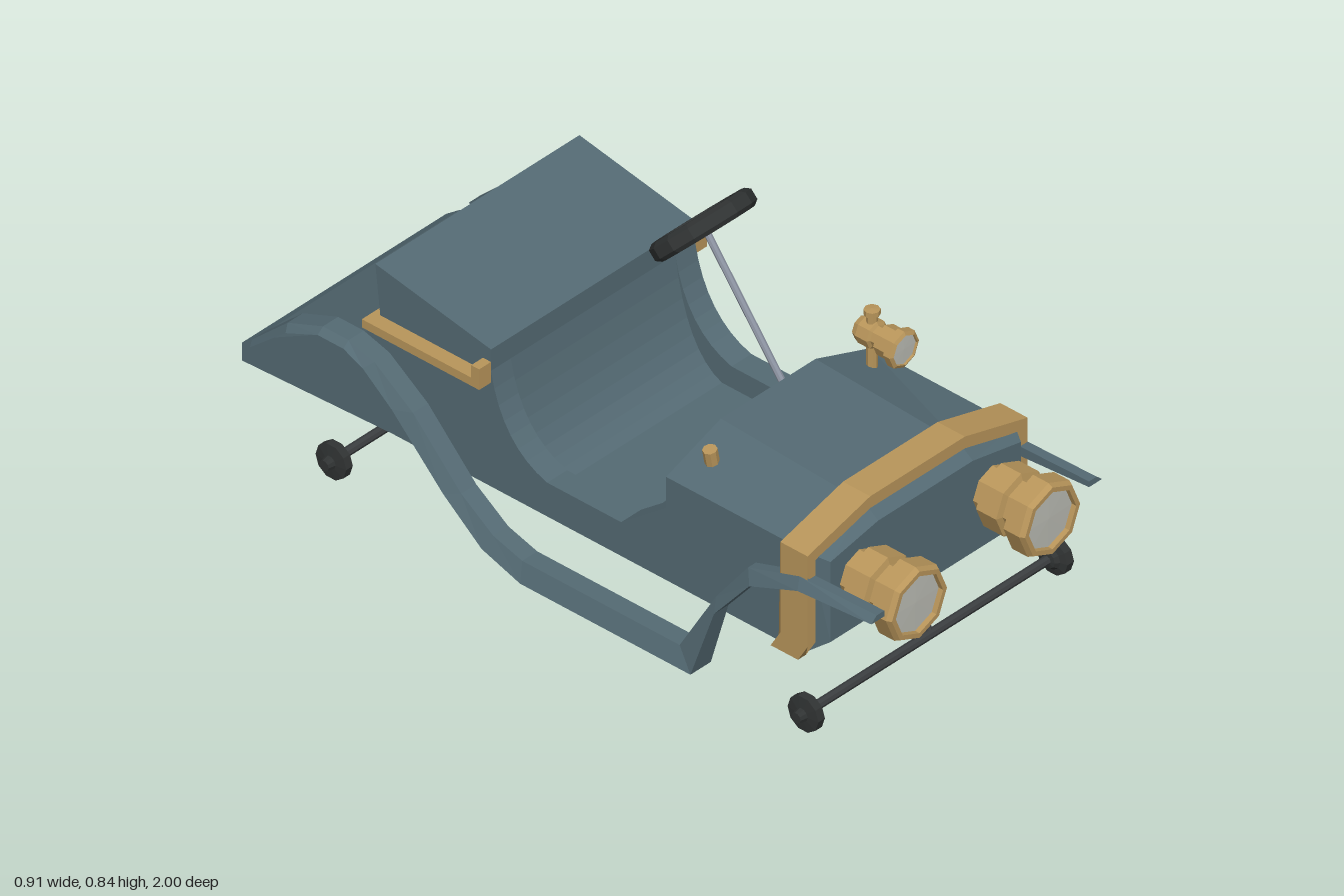
import * as THREE from 'three';

const mat = (name, color) => Object.assign(new THREE.MeshStandardMaterial({ color }), { name });

export function createModel() {
  const car = new THREE.Group();
  car.name = 'car';
  const paint = mat('blue grey paint', 0x546a73);
  const brass = mat('brass', 0xb8955a);
  const black = mat('black rubber', 0x303333);
  const iron = mat('dark iron', 0x3b3e40);
  const silver = mat('silver', 0x8b92a0);
  const glass = mat('lamp glass', 0xbabbb3);

  // Every part has faceted normals
  function add(name, geo, material, parent = car) {
    const g = geo.index ? geo.toNonIndexed() : geo;
    g.computeVertexNormals();
    const mesh = new THREE.Mesh(g, material);
    mesh.name = name;
    parent.add(mesh);
    return mesh;
  }
  const box = (x0, x1, y0, y1, z0, z1) =>
    new THREE.BoxGeometry(x1 - x0, y1 - y0, z1 - z0).translate((x0 + x1) / 2, (y0 + y1) / 2, (z0 + z1) / 2);
  const lathe = (pts, sides) => new THREE.LatheGeometry(pts.map(p => new THREE.Vector2(...p)), sides);
  const shapeOf = pts => new THREE.Shape(pts.map(p => new THREE.Vector2(...p)));

  // Side profile of (z, y) points, extruded across x
  const slab = (pts, x0, x1) =>
    new THREE.ExtrudeGeometry(shapeOf(pts), { depth: x1 - x0, bevelEnabled: false })
      .rotateY(-Math.PI / 2).translate(x1, 0, 0);

  // Round bar between two points
  function rod(name, a, b, r, material, sides = 8) {
    const from = new THREE.Vector3(...a), to = new THREE.Vector3(...b);
    const dir = to.clone().sub(from);
    const mesh = add(name, new THREE.CylinderGeometry(r, r, dir.length(), sides), material);
    mesh.position.copy(from).addScaledVector(dir, 0.5);
    mesh.quaternion.setFromUnitVectors(new THREE.Vector3(0, 1, 0), dir.normalize());
    return mesh;
  }

  // Skin over convex rings, counter-clockwise seen from the front, ordered front to back
  function loft(rings) {
    const n = rings[0].length, last = (rings.length - 1) * n, idx = [];
    for (let r = 0; r < rings.length - 1; r++) {
      for (let i = 0; i < n; i++) {
        const a = r * n + i, b = r * n + (i + 1) % n;
        idx.push(a, a + n, b, b, a + n, b + n);
      }
    }
    for (let i = 1; i < n - 1; i++) idx.push(0, i, i + 1, last, last + i + 1, last + i);
    const g = new THREE.BufferGeometry();
    g.setAttribute('position', new THREE.Float32BufferAttribute(rings.flat(2), 3));
    g.setIndex(idx);
    return g;
  }

  // Body tub: outer side walls and a deeper centre with a footwell
  const seatCurve = (z0, y0) => new THREE.QuadraticBezierCurve(
    new THREE.Vector2(z0, y0), new THREE.Vector2(-0.19, y0 + 0.04), new THREE.Vector2(-0.225, 0.49)
  ).getPoints(8).map(p => [p.x, p.y]);
  const tail = [[-0.225, 0.55], [-0.585, 0.617], [-0.565, 0.44], [-0.96, 0.225], [-1, 0.195],
    [-1, 0.145], [-0.53, 0.165], [0.33, 0.165], [0.33, 0.375]];
  const wall = [[0.18, 0.26], ...seatCurve(-0.05, 0.26), ...tail];
  const centre = [[0.25, 0.315], [0.25, 0.2], ...seatCurve(-0.08, 0.2), ...tail];
  add('bodySideLeft', slab(wall, 0.278, 0.345), paint);
  add('bodySideRight', slab(wall, -0.345, -0.278), paint);
  add('bodyCentre', slab(centre, -0.278, 0.278), paint);

  // Hood with a bevelled nose
  const hoodRing = (z, w, bottom, side, top, zBottom = z) => [
    [-w, bottom, zBottom], [w, bottom, zBottom], [w, side, z], [0.16, top, z], [-0.16, top, z], [-w, side, z]];
  const nose = (z, w, side, top) => [
    [-w, 0.215, z], [w, 0.215, z], [w, side, z], [0.16, top, z], [-0.16, top, z], [-w, side, z]];
  add('hood', loft([
    nose(0.81, 0.322, 0.44, 0.472),
    hoodRing(0.77, 0.345, 0.165, 0.455, 0.5, 0.745),
    hoodRing(0.32, 0.345, 0.165, 0.455, 0.522),
  ]), paint);

  // Brass radiator band, swept back at the foot
  const band = new THREE.ExtrudeGeometry(shapeOf([
    [0.345, 0.165], [0.372, 0.165], [0.372, 0.215], [0.372, 0.47], [0.16, 0.528], [-0.16, 0.528],
    [-0.372, 0.47], [-0.372, 0.215], [-0.372, 0.165], [-0.345, 0.165], [-0.345, 0.215],
    [-0.345, 0.445], [-0.16, 0.495], [0.16, 0.495], [0.345, 0.445], [0.345, 0.215]]),
  { depth: 0.085, bevelEnabled: false }).translate(0, 0, 0.7);
  const bp = band.attributes.position;
  for (let i = 0; i < bp.count; i++) if (bp.getY(i) < 0.2) bp.setZ(i, bp.getZ(i) - 0.03);
  add('radiatorBand', band, brass);

  // Fenders with running boards: top z, top y, bottom z, bottom y, outer x
  const fender = [
    [1, 0.408, 1, 0.392, 0.39], [0.76, 0.402, 0.77, 0.375, 0.39], [0.6, 0.35, 0.62, 0.316, 0.39],
    [0.505, 0.225, 0.515, 0.19, 0.395], [0.41, 0.053, 0.46, 0.003, 0.415], [-0.08, 0.053, -0.07, 0.003, 0.415],
    [-0.17, 0.08, -0.19, 0.043, 0.415], [-0.27, 0.15, -0.31, 0.14, 0.415], [-0.42, 0.305, -0.47, 0.3, 0.415],
    [-0.54, 0.39, -0.56, 0.372, 0.415], [-0.62, 0.413, -0.62, 0.398, 0.415], [-0.7, 0.413, -0.7, 0.398, 0.415],
    [-0.81, 0.37, -0.8, 0.355, 0.415], [-0.93, 0.26, -0.92, 0.252, 0.405]];
  for (const s of [1, -1]) {
    const rings = fender.map(([zt, yt, zb, yb, x]) => {
      const ring = [[s * 0.346, yb, zb], [s * x, yb, zb], [s * (x - 0.018), yt, zt], [s * 0.346, yt, zt]];
      return s > 0 ? ring : ring.reverse();
    });
    add(s > 0 ? 'fenderLeft' : 'fenderRight', loft(rings), paint);
  }

  // Headlights
  for (const s of [1, -1]) {
    const lamp = new THREE.Group();
    lamp.name = s > 0 ? 'headlightLeft' : 'headlightRight';
    lamp.position.set(s * 0.225, 0.36, 0);
    car.add(lamp);
    add('lampShell', lathe([[0, 0.79], [0.065, 0.79], [0.065, 0.83], [0.085, 0.838], [0.085, 0.9], [0.068, 0.905],
      [0.068, 0.93], [0.1, 0.937], [0.1, 0.985], [0.093, 0.998], [0.08, 0.998], [0.08, 0.98]], 8)
      .rotateX(Math.PI / 2), brass, lamp);
    add('lampLens', lathe([[0.081, 0.984], [0, 0.986]], 8).rotateX(Math.PI / 2), glass, lamp);
  }

  // Spotlight on a post
  const spot = new THREE.Group();
  spot.name = 'spotlight';
  spot.position.set(0.275, 0.57, 0);
  car.add(spot);
  add('spotShell', lathe([[0, 0.355], [0.03, 0.355], [0.036, 0.37], [0.036, 0.405], [0.028, 0.41], [0.028, 0.425],
    [0.04, 0.43], [0.04, 0.465], [0.05, 0.47], [0.05, 0.49], [0.041, 0.495], [0.041, 0.487]], 8)
    .rotateX(Math.PI / 2), brass, spot);
  add('spotLens', lathe([[0.042, 0.488], [0, 0.489]], 8).rotateX(Math.PI / 2), glass, spot);
  add('spotPost', lathe([[0, -0.095], [0.014, -0.095], [0.014, 0.05], [0.02, 0.052], [0.02, 0.066], [0, 0.068]], 8)
    .translate(0, 0, 0.39), brass, spot);

  // Filler cap on the hood slope
  rod('fillerCap', [-0.258, 0.475, 0.385], [-0.268, 0.524, 0.385], 0.018, brass);

  // Steering wheel and column
  rod('steeringColumn', [0.155, 0.33, 0.285], [0.155, 0.735, -0.025], 0.009, silver);
  const wheel = new THREE.Group();
  wheel.name = 'steeringWheel';
  wheel.position.set(0.155, 0.735, -0.025);
  wheel.rotation.x = -Math.PI / 4;
  car.add(wheel);
  add('wheelRim', lathe([[0.095, -0.024], [0.124, -0.024], [0.137, -0.014], [0.137, 0.014], [0.124, 0.024],
    [0.095, 0.024], [0.095, -0.024]], 14), black, wheel);
  add('wheelHub', new THREE.CylinderGeometry(0.022, 0.022, 0.03, 10), black, wheel);
  for (let i = 0; i < 5; i++) {
    const spoke = add('wheelSpoke', new THREE.CylinderGeometry(0.013, 0.006, 0.085, 4)
      .rotateZ(-Math.PI / 2).scale(1, 0.5, 1).translate(0.056, 0, 0), silver, wheel);
    spoke.rotation.y = Math.PI / 2 + i * Math.PI * 2 / 5;
  }

  // Brass rail around the seat
  for (const s of [1, -1]) {
    const a = s > 0 ? 0.345 : -0.385;
    add('seatRailSide', box(a, a + 0.04, 0.457, 0.48, -0.585, -0.235), brass);
    add('seatRailEnd', box(a, a + 0.04, 0.457, 0.515, -0.25, -0.225), brass);
  }
  add('seatRailBack', box(-0.385, 0.385, 0.457, 0.48, -0.59, -0.56), brass);

  // Running gear: shaft, struts, axles and hubs
  rod('driveShaft', [0, 0.078, 0.826], [0, 0.078, -0.643], 0.008, iron);
  rod('middleStrut', [0, 0.078, 0.09], [0, 0.17, 0.09], 0.013, iron);
  rod('rearStrut', [0, 0.078, -0.643], [0, 0.17, -0.643], 0.01, iron);
  rod('frontStrut', [0, 0.078, 0.826], [0, 0.18, 0.735], 0.01, iron);
  for (const z of [0.826, -0.643]) {
    rod('axle', [-0.42, 0.078, z], [0.42, 0.078, z], 0.012, iron);
    for (const s of [1, -1]) {
      const hub = add('axleHub', lathe([[0, 0.39], [0.022, 0.395], [0.03, 0.405], [0.048, 0.41], [0.048, 0.432],
        [0.018, 0.436], [0.014, 0.455], [0, 0.455]], 10).rotateZ(-Math.PI / 2), black);
      hub.position.set(0, 0.078, z);
      hub.rotation.y = s > 0 ? 0 : Math.PI;
    }
  }
  return car;
}
